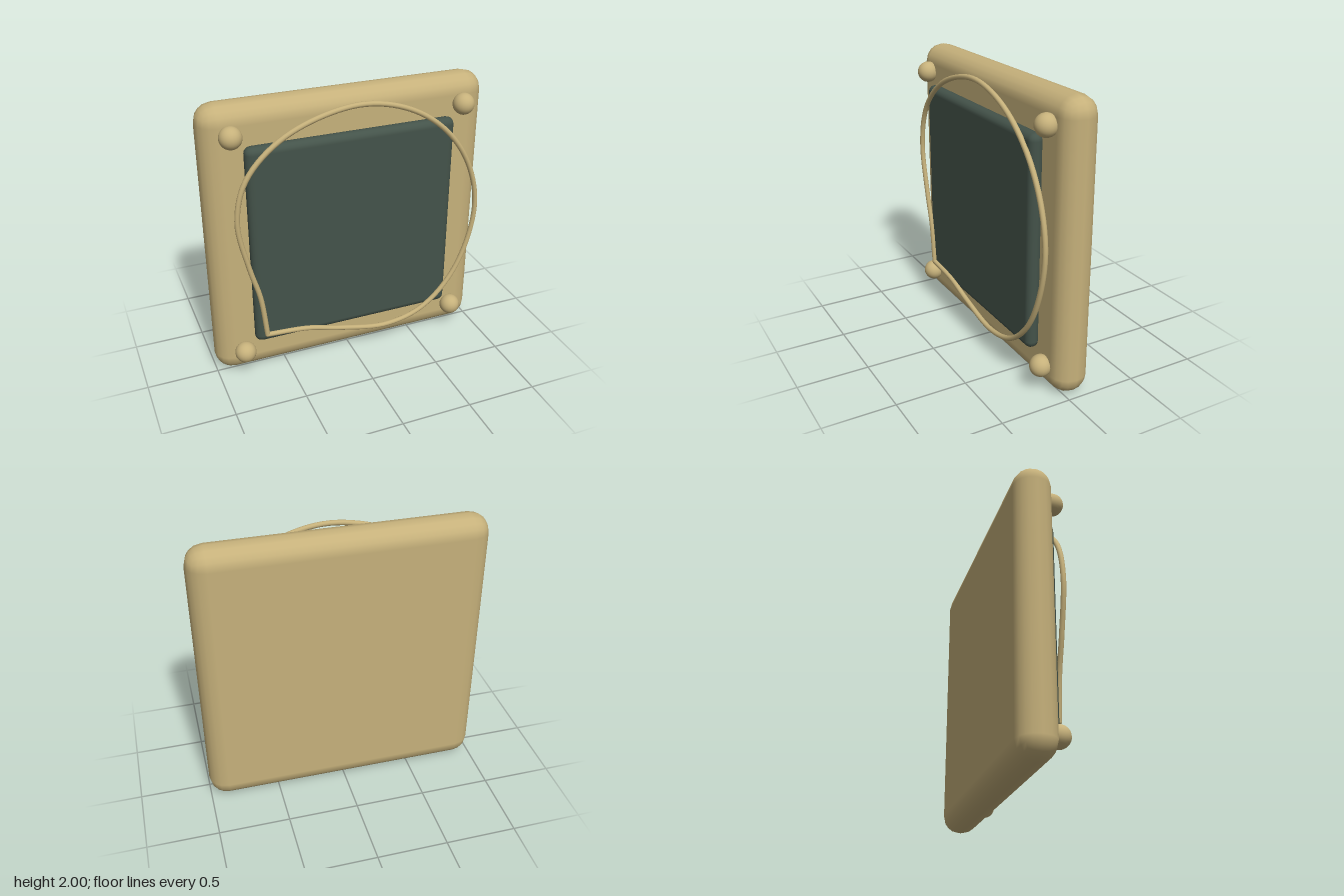
import * as THREE from 'three';
import { RoundedBoxGeometry } from 'three/addons/geometries/RoundedBoxGeometry.js';

export function createModel() {
  const model = new THREE.Group();
  const sand = new THREE.MeshStandardMaterial({ name: 'sand', color: 0xc6b17b });
  const darkGreen = new THREE.MeshStandardMaterial({ name: 'darkGreen', color: 0x44534a });

  const add = (name, geometry, material, x, y, z) => {
    const mesh = new THREE.Mesh(geometry, material);
    mesh.name = name;
    mesh.position.set(x, y, z);
    model.add(mesh);
  };

  // Thick rounded backing and the dark panel set on its front
  add('backing', new RoundedBoxGeometry(2, 2, 0.26, 2, 0.13), sand, 0, 1, -0.056);
  add('panel', new RoundedBoxGeometry(1.47, 1.47, 0.1, 2, 0.05), darkGreen, 0, 1.005, 0.106);

  // Ball studs at the four corners
  const ball = new THREE.SphereGeometry(0.075, 24, 16);
  for (const x of [-0.81, 0.81])
    for (const y of [0.19, 1.815]) add('cornerStud', ball, sand, x, y, 0.106);

  // Teardrop wire loop, mirrored about its diagonal and pointed at lower left
  const half = [[-0.66, -0.67], [-0.695, -0.36], [-0.76, -0.11], [-0.82, 0.25],
    [-0.74, 0.54], [-0.47, 0.79], [0, 0.925], [0.36, 0.856]];
  const loop = [...half, [0.657, 0.657], ...half.map(([x, y]) => [y, x]).reverse()];
  loop[loop.length - 1] = half[0];
  const path = new THREE.CatmullRomCurve3(loop.map(([x, y]) => new THREE.Vector3(x, y, 0)));
  add('wireLoop', new THREE.TubeGeometry(path, 120, 0.018, 10), sand, 0, 1.01, 0.166);
  add('wireTip', new THREE.SphereGeometry(0.018, 10, 8), sand, -0.66, 0.34, 0.166);

  return model;
}
